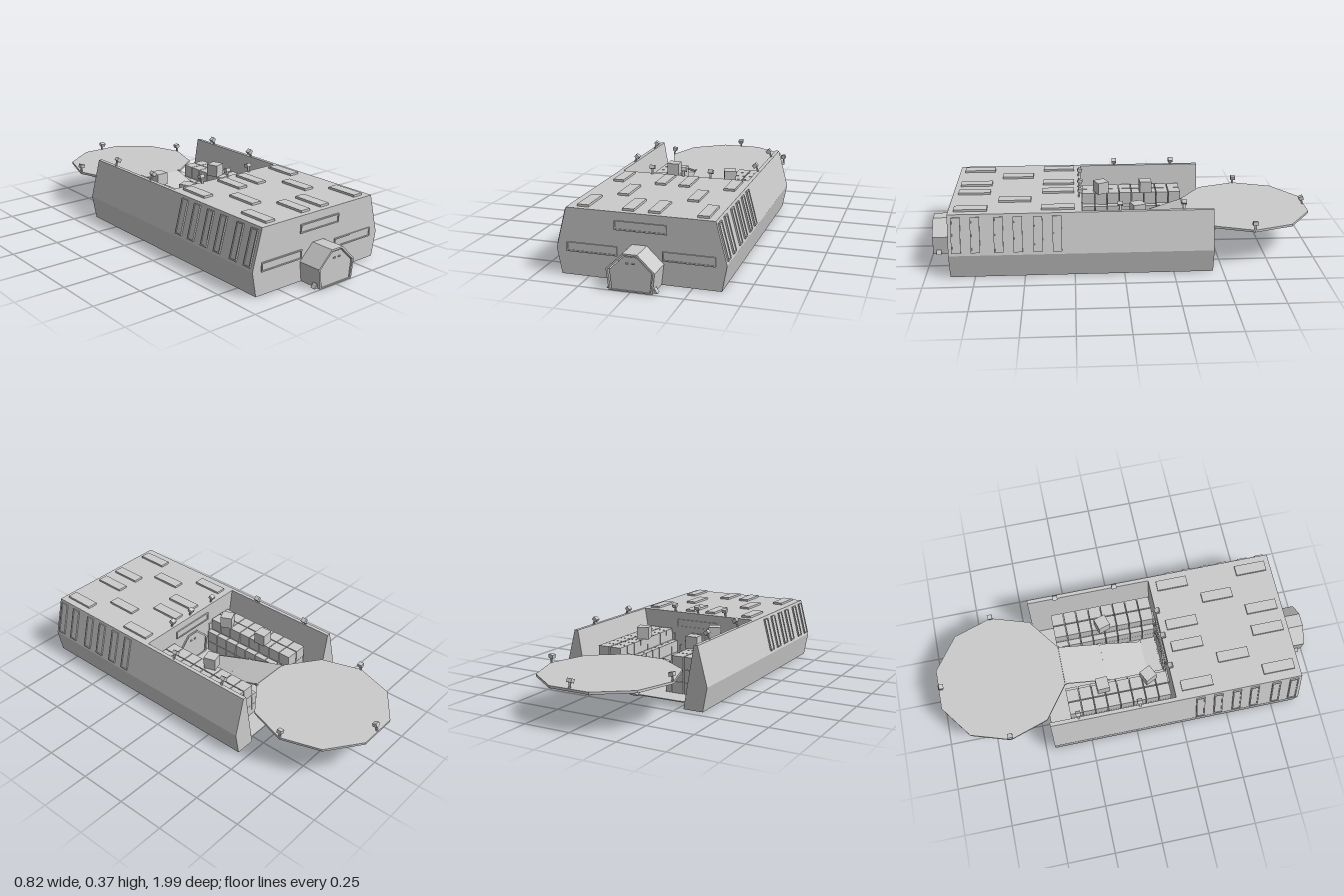
import * as THREE from 'three';

const mat = new THREE.MeshStandardMaterial({ color: 0xcccccc, flatShading: true, side: THREE.DoubleSide });

function add(parent, name, geo, x = 0, y = 0, z = 0) {
  const m = new THREE.Mesh(geo, mat);
  m.name = name;
  m.position.set(x, y, z);
  parent.add(m);
  return m;
}
const box = (w, h, d) => new THREE.BoxGeometry(w, h, d);
const shape = pts => new THREE.Shape(pts.map(p => new THREE.Vector2(p[0], p[1])));
const extrude = (s, depth) => new THREE.ExtrudeGeometry(s, { depth, bevelEnabled: false });
const rect = (w, h) => [[-w / 2, -h / 2], [w / 2, -h / 2], [w / 2, h / 2], [-w / 2, h / 2]];
// right half of a profile -> closed symmetric outline
const mirror = half => [...half, ...half.map(([x, y]) => [-x, y]).reverse()];

function ring(outer, inner, depth) {
  const s = shape(outer);
  s.holes.push(shape(inner));
  return extrude(s, depth);
}

// framed window: raised rim with a slightly sunken pane
function framedWindow(parent, name, w, h, x, y, z) {
  const g = new THREE.Group();
  g.name = name;
  g.position.set(x, y, z);
  add(g, name + 'Frame', ring(rect(w, h), rect(w - 0.012, h - 0.012), 0.014), 0, 0, -0.006);
  add(g, name + 'Pane', box(w - 0.012, h - 0.012, 0.008));
  parent.add(g);
  return g;
}

// small floodlight on a post; lean tips it forward, turn aims it
function floodlight(parent, x, y, z, turn = 0, lean = 0) {
  const g = new THREE.Group();
  g.name = 'floodlight';
  g.position.set(x, y, z);
  g.rotation.set(0, turn, 0);
  add(g, 'lampPost', box(0.01, 0.03, 0.007), 0, 0.013, 0).rotation.x = lean * 0.5;
  add(g, 'lampHead', box(0.026, 0.019, 0.024), 0, 0.034, lean * 0.016).rotation.x = lean;
  parent.add(g);
}

const HULL = [[0.385, 0], [0.408, 0.125], [0.355, 0.325]];
const HULL_IN = [[0.382, 0], [0.405, 0.125], [0.353, 0.322]];
const PORCH = [[0.103, 0], [0.115, 0.1], [0.035, 0.178]];
const PORCH_IN = [[0.094, 0.006], [0.105, 0.097], [0.031, 0.169]];
const DOOR = [[0.09, 0.006], [0.1, 0.096], [0.029, 0.164]];
const FLOOR_Y = 0.035;

function doorway(parent, name, y, z, turn) {
  const g = new THREE.Group();
  g.name = name;
  add(g, 'doorRim', ring(mirror(PORCH), mirror(PORCH_IN), 0.01), 0, 0, -0.005);
  add(g, 'doorLeaf', extrude(shape(mirror(DOOR)), 0.006), 0, 0, -0.006);
  for (const s of [-1, 1]) add(g, 'doorHandle', box(0.011, 0.006, 0.008), s * 0.015, 0.134, 0.002);
  g.position.set(0, y, z);
  g.rotation.y = turn;
  parent.add(g);
}

function buildHall(root) {
  const hall = new THREE.Group();
  hall.name = 'hall';
  root.add(hall);
  // thin open-bottomed shell
  const shell = shape([...mirror(HULL), ...mirror(HULL_IN).reverse()]);
  add(hall, 'hallShell', extrude(shell, 0.665), 0, 0, 0.21);
  // front wall with an opening for the porch
  const front = shape([...mirror(HULL), ...mirror(PORCH).reverse()]);
  add(hall, 'frontWall', extrude(front, 0.004), 0, 0, 0.871);
  add(hall, 'yardWall', extrude(shape(mirror(HULL)), 0.004), 0, 0, 0.21);
  // windows
  for (const s of [-1, 1]) framedWindow(hall, 'frontWindow', 0.248, 0.045, s * 0.232, 0.137, 0.873);
  framedWindow(hall, 'upperWindow', 0.25, 0.044, 0.005, 0.262, 0.873);
  framedWindow(hall, 'yardUpperWindow', 0.25, 0.044, 0, 0.262, 0.211).rotation.y = Math.PI;
  for (const s of [-1, 1]) framedWindow(hall, 'yardWindow', 0.07, 0.045, s * 0.17, 0.18, 0.211).rotation.y = Math.PI;
  doorway(hall, 'yardDoor', FLOOR_Y, 0.208, Math.PI);
  // roof plates, set into the roof
  const plates = [[-0.17, 0.55], [0.177, 0.55]];
  for (const z of [0.33, 0.765]) for (const x of [-0.282, -0.062, 0.062, 0.291]) plates.push([x, z]);
  for (const [x, z] of plates) add(hall, 'roofPlate', box(0.055, 0.016, 0.165), x, 0.328, z);
  // tall slanted side windows
  for (const s of [-1, 1]) {
    const side = new THREE.Group();
    side.name = 'sideWindows';
    side.scale.x = s;
    for (const z of [0.335, 0.43, 0.53, 0.625, 0.74, 0.835]) {
      const tilt = new THREE.Group();
      tilt.name = 'sideWindow';
      tilt.position.set(0.3815, 0.225, z);
      tilt.rotation.z = 0.259;
      framedWindow(tilt, 'sidePane', 0.046, 0.178, 0, 0, 0).rotation.y = Math.PI / 2;
      side.add(tilt);
    }
    hall.add(side);
  }
  for (const x of [-0.17, 0, 0.142]) floodlight(hall, x, 0.325, 0.222, Math.PI, 0.4);
}

function buildPorch(root) {
  const porch = new THREE.Group();
  porch.name = 'porch';
  root.add(porch);
  add(porch, 'porchShell', ring(mirror(PORCH), mirror(PORCH_IN), 0.122), 0, 0, 0.87);
  doorway(porch, 'frontDoor', 0, 0.993, 0);
  for (const s of [-1, 1]) {
    const foot = shape([[s * 0.1, 0], [s * 0.121, 0], [s * 0.106, 0.024]]);
    add(porch, 'porchFoot', extrude(foot, 0.025), 0, 0, 0.955);
  }
}

function buildYard(root) {
  const yard = new THREE.Group();
  yard.name = 'yard';
  root.add(yard);
  add(yard, 'yardFloor', box(0.572, 0.005, 0.66), 0, FLOOR_Y, -0.12);
  // hollow side walls, wider at the foot, closed at the back end
  const outer = [...HULL, [0.335, 0.325], [0.28, 0]];
  const inner = [[0.283, 0], [0.338, 0.322], ...HULL_IN.slice().reverse()];
  for (const s of [-1, 1]) {
    const flip = pts => shape(pts.map(([x, y]) => [s * x, y]));
    add(yard, 'yardSideWall', extrude(flip([...outer, ...inner]), 0.66), 0, 0, -0.45);
    add(yard, 'wallEnd', extrude(flip(outer), 0.003), 0, 0, -0.45);
    for (const z of [-0.3, 0.02]) floodlight(yard, s * 0.338, 0.322, z, -s * Math.PI / 2, 0.7);
    // stacked crates, with a lower row along the aisle
    for (let row = 0; row < 8; row++)
      for (const [x, w, levels] of [[0.253, 0.064, 3], [0.184, 0.064, 3], [0.134, 0.03, 2]])
        for (let l = 0; l < levels; l++)
          add(yard, 'crate', box(w, 0.064, 0.064), s * x, FLOOR_Y + 0.029 + l * 0.066, -0.307 + row * 0.068);
  }
  // loose crates on top
  for (const [x, z, r] of [[-0.172, -0.145, 0.05], [-0.168, 0.1, 0.45], [0.165, -0.08, 0.3]])
    add(yard, 'looseCrate', box(0.064, 0.064, 0.064), x, FLOOR_Y + 0.226, z).rotation.y = r;
}

function buildPad(root) {
  const pad = new THREE.Group();
  pad.name = 'landingPad';
  root.add(pad);
  const cz = -0.665;
  // ten-sided deck with a flat edge to the yard
  const corners = Array.from({ length: 10 }, (_, i) => {
    const a = i * Math.PI / 5;
    return [0.347 * Math.cos(a), 0.347 * Math.sin(a)];
  });
  add(pad, 'padDeck', extrude(shape(corners), 0.012), 0, 0.203, cz).rotation.x = Math.PI / 2;
  for (const s of [-1, 1]) floodlight(pad, s * 0.342, 0.203, cz, -s * Math.PI / 2, 0.2);
  floodlight(pad, 0, 0.203, -0.985, 0, 0.4);
  // diagonal brace under the deck
  const a = new THREE.Vector3(0, 0.035, -0.44), b = new THREE.Vector3(0, 0.192, -0.68);
  const brace = add(pad, 'padBrace', box(0.045, 0.022, a.distanceTo(b)));
  brace.position.copy(a).add(b).multiplyScalar(0.5);
  brace.rotation.x = Math.atan2(b.y - a.y, a.z - b.z);
  // two-section ramp down into the yard, hinged at each joint
  const pts = [[-0.335, 0.2], [-0.11, 0.125], [0.12, FLOOR_Y + 0.005]];
  for (let i = 0; i < 2; i++) {
    const [z0, y0] = pts[i], [z1, y1] = pts[i + 1];
    const ramp = add(pad, 'rampSection', box(0.21, 0.008, Math.hypot(z1 - z0, y1 - y0)), 0, (y0 + y1) / 2, (z0 + z1) / 2);
    ramp.rotation.x = Math.atan2(y0 - y1, z1 - z0);
  }
  for (const [z, y] of pts)
    for (const s of [-1, 1]) add(pad, 'rampHinge', box(0.008, 0.014, 0.014), s * 0.106, y, z);
}

export function createModel() {
  const root = new THREE.Group();
  root.name = 'outpost';
  buildHall(root);
  buildPorch(root);
  buildYard(root);
  buildPad(root);
  return root;
}
